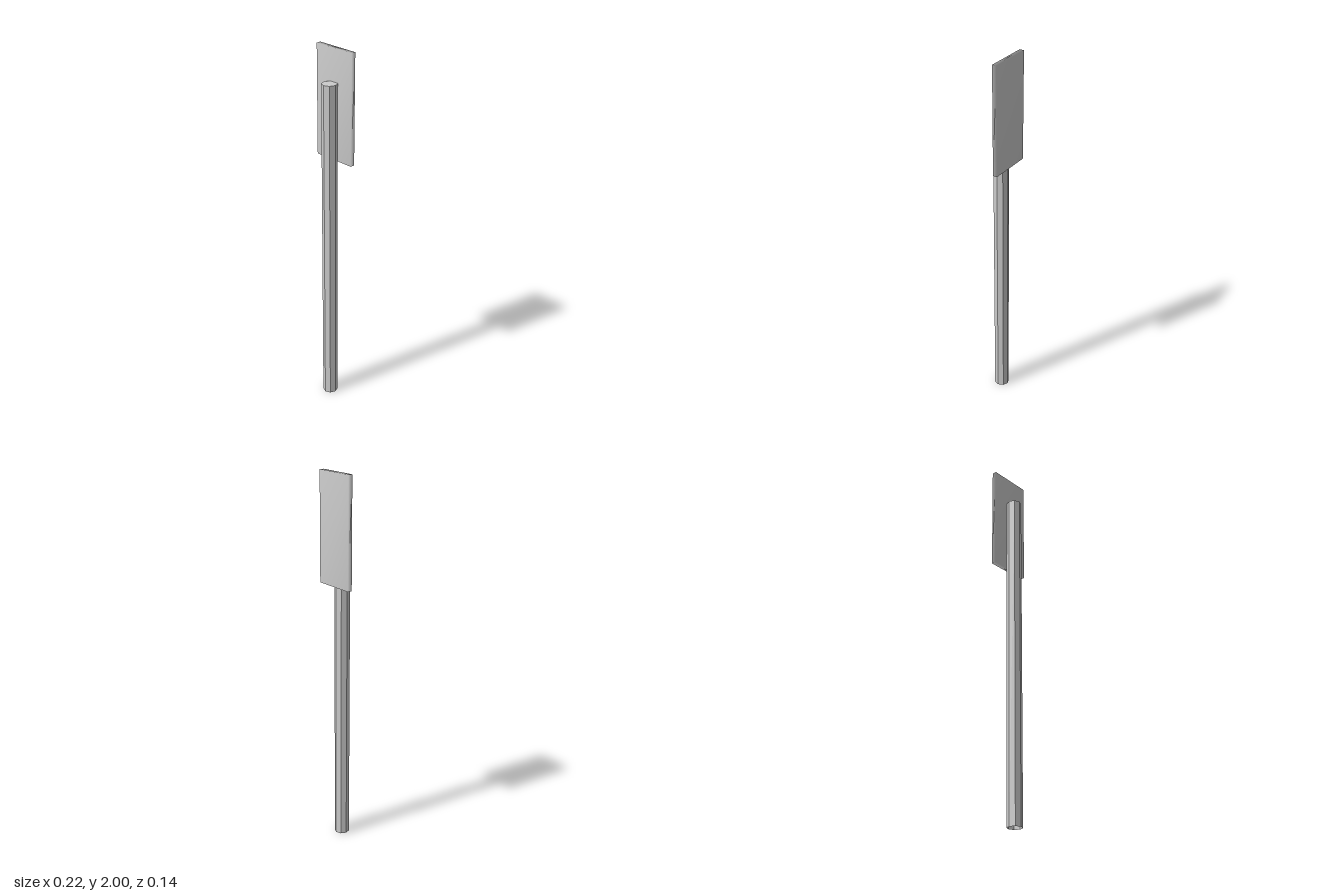
import * as THREE from 'three';
import { mergeVertices } from 'three/addons/utils/BufferGeometryUtils.js';

const POLE_RADIUS = 0.04, POLE_HEIGHT = 1.83, SIDES = 8;
const PLATE = { width: 0.236, height: 0.58, depth: 0.024, top: 2 };

export function createModel() {
  const model = new THREE.Group();
  model.name = 'signPost';

  // The whole post is turned about the vertical axis
  const post = new THREE.Group();
  post.name = 'post';
  post.rotation.y = -0.464;
  post.position.z = -0.008;
  model.add(post);

  const add = (name, geometry, options, x, y, z) => {
    const mesh = new THREE.Mesh(geometry, new THREE.MeshStandardMaterial({ color: 0xcccccc, ...options }));
    mesh.name = name;
    mesh.position.set(x, y, z);
    post.add(mesh);
    return mesh;
  };

  // Octagonal pole, hollow at the foot and capped at the top
  const poleZ = 0.0425;
  const pole = new THREE.CylinderGeometry(POLE_RADIUS, POLE_RADIUS, POLE_HEIGHT, SIDES, 1, true);
  add('pole', pole, { flatShading: true, side: THREE.DoubleSide }, 0, POLE_HEIGHT / 2, poleZ);
  const cap = new THREE.CircleGeometry(POLE_RADIUS, SIDES).rotateX(-Math.PI / 2);
  add('poleCap', cap, { flatShading: true }, 0, POLE_HEIGHT, poleZ);

  // Sign plate with shared corners, so its shading is smooth
  let plate = new THREE.BoxGeometry(PLATE.width, PLATE.height, PLATE.depth);
  plate.deleteAttribute('normal');
  plate.deleteAttribute('uv');
  plate = mergeVertices(plate);
  plate.computeVertexNormals();
  add('signPlate', plate, {}, 0, PLATE.top - PLATE.height / 2, 0);

  return model;
}
